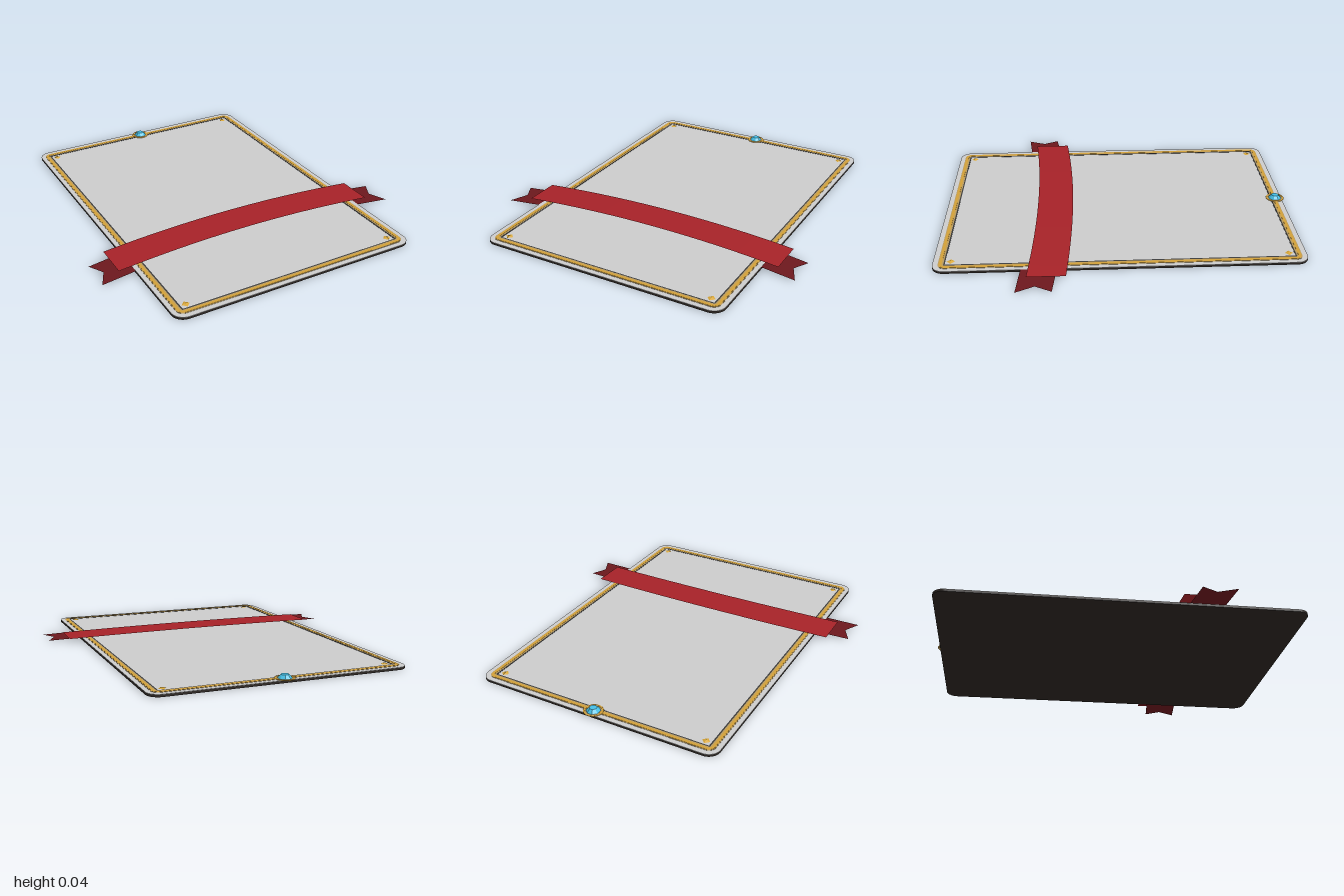
import * as THREE from 'three';

const CENTRE_Z = 0.0075; // the card sits slightly forward, the medallion overhangs its far edge

function roundedRect(path, hw, hh, r) {
  path.moveTo(-hw + r, -hh);
  path.lineTo(hw - r, -hh);
  path.absarc(hw - r, -hh + r, r, -Math.PI / 2, 0);
  path.lineTo(hw, hh - r);
  path.absarc(hw - r, hh - r, r, 0, Math.PI / 2);
  path.lineTo(-hw + r, hh);
  path.absarc(-hw + r, hh - r, r, Math.PI / 2, Math.PI);
  path.lineTo(-hw, -hh + r);
  path.absarc(-hw + r, -hh + r, r, Math.PI, Math.PI * 1.5);
  return path;
}

export function createModel() {
  const group = new THREE.Group();
  const mat = (color, opts = {}) => new THREE.MeshStandardMaterial({ color, ...opts });
  const grey = mat(0xcccccc);
  const backing = mat(0x2c2622);
  const gold = mat(0xd2a038);
  const paleGold = mat(0xb99a5c);
  const goldFacet = mat(0xd9a83a, { flatShading: true });
  const dark = mat(0x3c3c3c);
  const gemMat = mat(0x45bfe6, { flatShading: true });
  const ribbonMat = mat(0xa62228, { side: THREE.DoubleSide });
  const tailMat = mat(0x6c181d, { side: THREE.DoubleSide });

  const add = (name, geometry, material, x = 0, y = 0, z = 0) => {
    const mesh = new THREE.Mesh(geometry, material);
    mesh.name = name;
    mesh.position.set(x, y, z);
    group.add(mesh);
    return mesh;
  };
  // flat slab lying on the ground plane
  const slab = (shape, depth) =>
    new THREE.ExtrudeGeometry(shape, { depth, bevelEnabled: false, curveSegments: 8 }).rotateX(-Math.PI / 2);
  // hollow rectangular border: half sizes, corner radius, band width
  const border = (hw, hh, r, w, depth) => {
    const shape = roundedRect(new THREE.Shape(), hw, hh, r);
    shape.holes.push(roundedRect(new THREE.Path(), hw - w, hh - w, Math.max(r - w, 0.002)));
    return slab(shape, depth);
  };

  // card: dark backing with a grey face
  const outline = roundedRect(new THREE.Shape(), 0.708, 0.9915, 0.065);
  add('cardBacking', slab(outline, 0.012), backing, 0, 0, CENTRE_Z);
  add('cardFace', slab(outline, 0.002), grey, 0, 0.012, CENTRE_Z);

  // stepped gold frame and thin dark inner line
  add('frameBase', border(0.682, 0.963, 0.04, 0.03, 0.002), paleGold, 0, 0.0135, CENTRE_Z);
  add('frameRidge', border(0.677, 0.958, 0.035, 0.016, 0.003), gold, 0, 0.0135, CENTRE_Z);
  add('innerLine', border(0.653, 0.934, 0.004, 0.008, 0.002), dark, 0, 0.0135, CENTRE_Z);

  // corner studs
  for (const sx of [-1, 1]) {
    for (const sz of [-1, 1]) {
      const stud = add('cornerStud', new THREE.OctahedronGeometry(0.022), goldFacet,
        sx * 0.615, 0.014, CENTRE_Z + sz * 0.897);
      stud.scale.y = 0.3;
    }
  }

  // medallion at the far edge: gold ring around a faceted gem
  const z = -0.947;
  add('medallionPlate', new THREE.CylinderGeometry(0.047, 0.047, 0.005, 32), paleGold, 0, 0.0135, z);
  const ring = add('medallionRing', new THREE.TorusGeometry(0.048, 0.005, 8, 40).rotateX(Math.PI / 2), gold, 0, 0.015, z);
  ring.scale.y = 0.6;
  const crown = new THREE.CylinderGeometry(0.021, 0.039, 0.02, 8).rotateY(Math.PI / 8);
  add('gem', crown, gemMat, 0, 0.025, z);

  // arched ribbon band
  const band = new THREE.PlaneGeometry(1.576, 0.205, 32, 1).rotateX(-Math.PI / 2);
  const p = band.attributes.position;
  for (let i = 0; i < p.count; i++) {
    const t = (p.getX(i) / 0.788) ** 2;
    p.setY(i, 0.034 - 0.014 * t);
    p.setZ(i, p.getZ(i) + 0.365 + 0.037 * t);
  }
  band.computeVertexNormals();
  add('ribbonBand', band, ribbonMat);

  // notched ribbon tails, sloping down outwards
  const tail = new THREE.ShapeGeometry(new THREE.Shape([
    [0.69, -0.345], [0.69, -0.535], [0.9, -0.556], [0.853, -0.457], [0.9, -0.37],
  ].map(([x, y]) => new THREE.Vector2(x, y)))).rotateX(-Math.PI / 2);
  const q = tail.attributes.position;
  for (let i = 0; i < q.count; i++) q.setY(i, 0.014 - 0.01 * (q.getX(i) - 0.69) / 0.21);
  tail.computeVertexNormals();
  add('leftRibbonTail', tail, tailMat);
  add('rightRibbonTail', tail, tailMat).scale.x = -1;

  return group;
}
